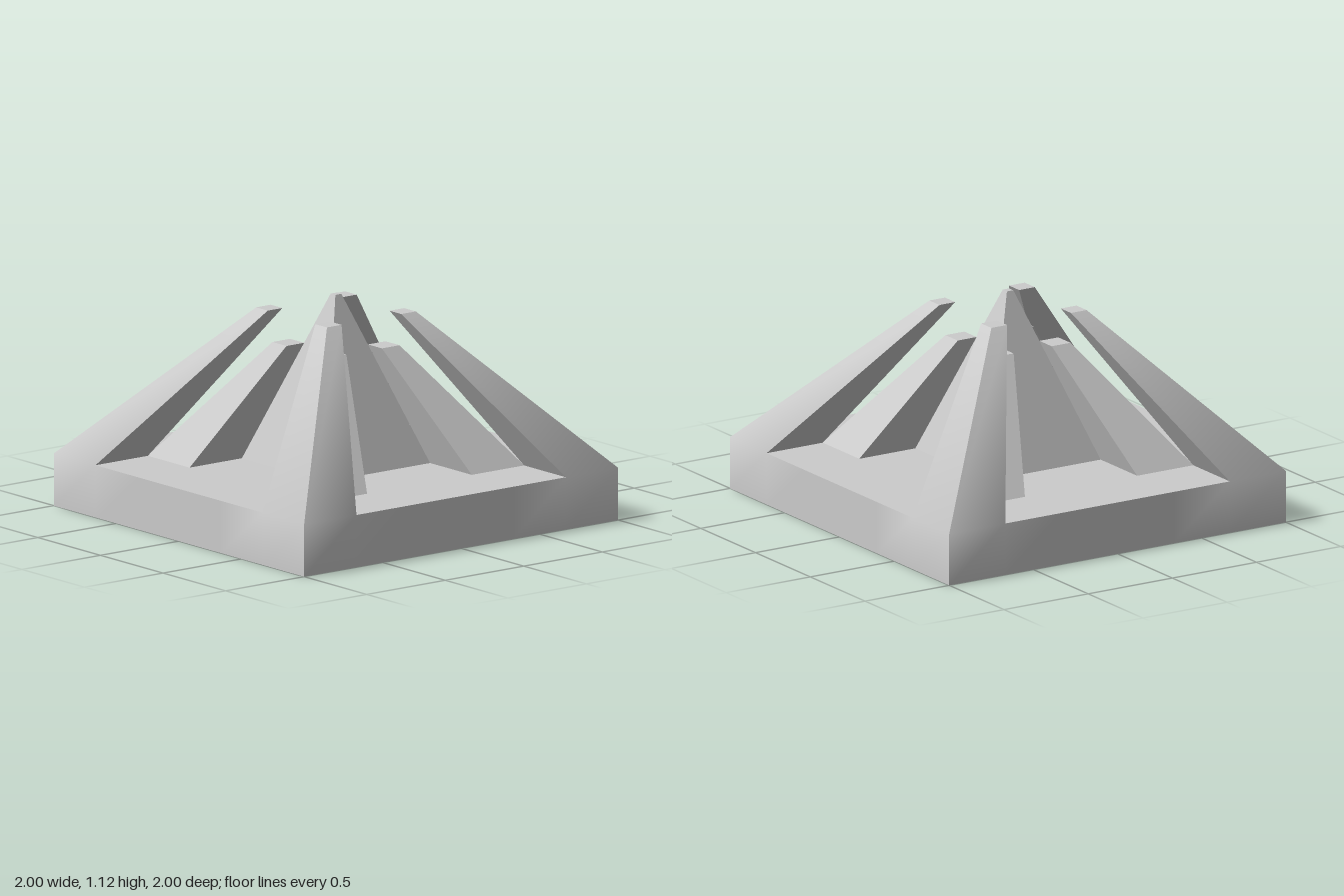
import * as THREE from 'three';
import { mergeGeometries, toCreasedNormals } from 'three/addons/utils/BufferGeometryUtils.js';

const BASE = 0.267; // top of the plinth
const T = 1 / 3;    // module of the square plan

// Four-sided tapered block; bottom and top are [min x, max x, min z, max z]
function taper(bottom, top, y0, y1) {
  const geo = new THREE.BoxGeometry(1, 1, 1);
  const p = geo.attributes.position;
  for (let i = 0; i < p.count; i++) {
    const up = p.getY(i) > 0;
    const r = up ? top : bottom;
    p.setXYZ(i, p.getX(i) > 0 ? r[1] : r[0], up ? y1 : y0, p.getZ(i) > 0 ? r[3] : r[2]);
  }
  const flat = geo.toNonIndexed();
  flat.computeVertexNormals();
  return flat;
}

// Interval a..b on the positive or negative side of an axis
const side = (s, a, b) => (s > 0 ? [a, b] : [-b, -a]);

// Leaning spike in the corner given by the signs sx and sz
function cornerSpike(sx, sz, b0, b1, t0, t1, y1) {
  return taper(
    [...side(sx, b0, b1), ...side(sz, b0, b1)],
    [...side(sx, t0, t1), ...side(sz, t0, t1)], BASE, y1);
}

export function createModel() {
  const group = new THREE.Group();
  const material = new THREE.MeshStandardMaterial({ color: 0xcccccc });
  const add = (name, geo) => {
    const mesh = new THREE.Mesh(geo, material);
    mesh.name = name;
    group.add(mesh);
  };
  const corners = [[1, 1], [-1, 1], [1, -1], [-1, -1]];

  // Plinth joined with the outer spikes, softly shaded where their sides meet
  const plinth = new THREE.BoxGeometry(2, BASE, 2, 6, 1, 6);
  plinth.translate(0, BASE / 2, 0);
  const outer = corners.map(([sx, sz]) => cornerSpike(sx, sz, 2 * T, 1, 0.19, 0.283, 1.04));
  const joined = mergeGeometries([plinth.toNonIndexed(), ...outer]);
  add('plinthWithOuterSpikes', toCreasedNormals(joined, THREE.MathUtils.degToRad(45)));

  // Shorter inner spikes
  for (const [sx, sz] of corners) {
    const name = `innerSpike${sz > 0 ? 'Front' : 'Back'}${sx > 0 ? 'Left' : 'Right'}`;
    add(name, cornerSpike(sx, sz, T, 2 * T, 0.113, 0.225, 0.865));
  }

  // Central spire
  const c = 0.019;
  add('centralSpire', taper([-T, T, -T, T], [-c, c, -c, c], BASE, 1.12));

  return group;
}
